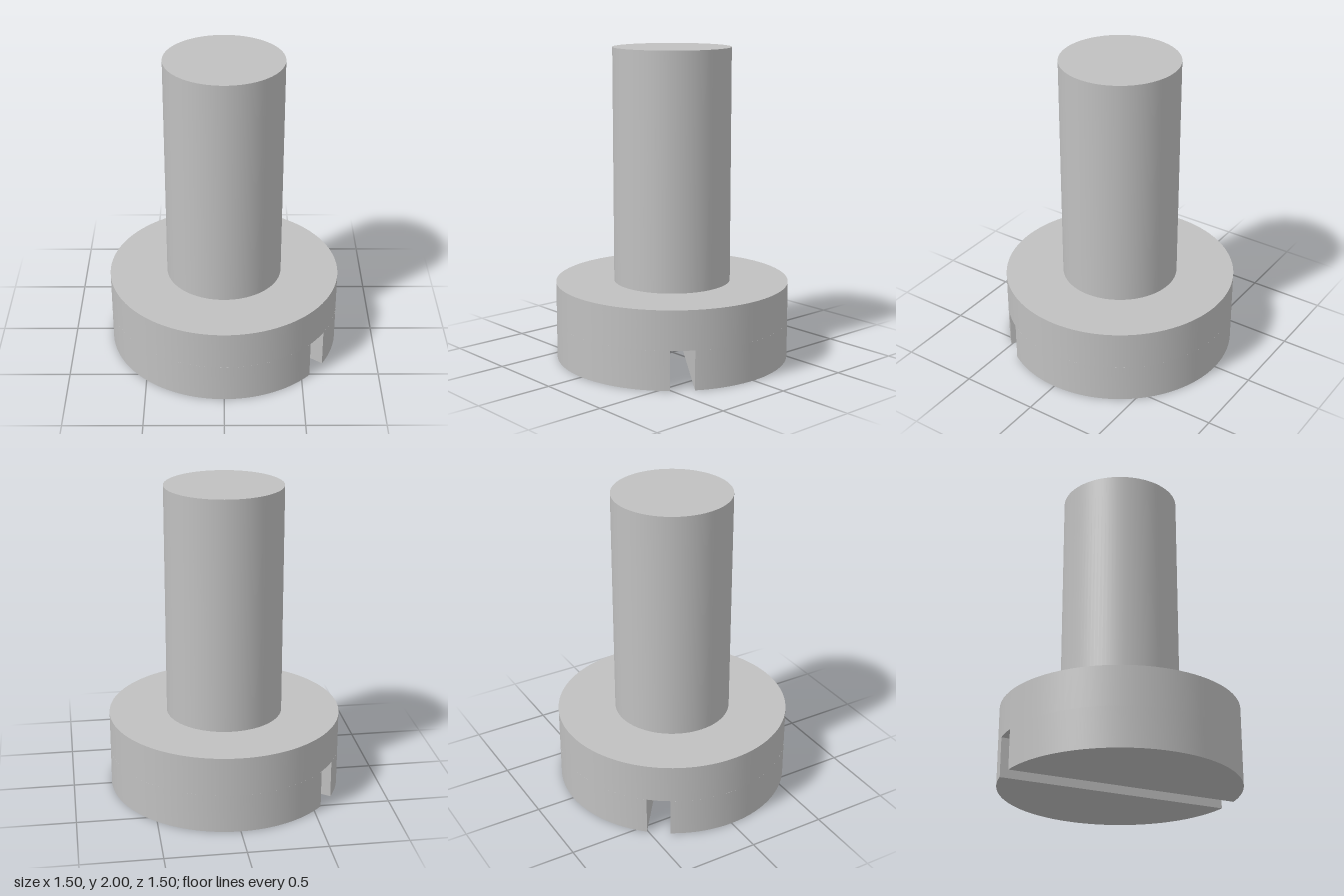
import * as THREE from 'three';
import { toCreasedNormals } from 'three/addons/utils/BufferGeometryUtils.js';

export function createModel() {
  const model = new THREE.Group();
  model.name = 'slottedScrew';
  const steel = new THREE.MeshStandardMaterial({ color: 0xc0c0c0 });
  steel.name = 'steel grey';

  const headRadius = 0.75, headHeight = 0.5, shaftRadius = 0.375;
  const slotDepth = 0.25, slotWidth = 0.15;
  const slotAngle = THREE.MathUtils.degToRad(36.8);

  const add = (name, geometry, parent = model) => {
    const mesh = new THREE.Mesh(geometry, steel);
    mesh.name = name;
    parent.add(mesh);
    return mesh;
  };
  const disc = (radius, y0, y1) =>
    new THREE.CylinderGeometry(radius, radius, y1 - y0, 96).translate(0, (y0 + y1) / 2, 0);

  // Shaft, and the solid part of the head above the slot
  add('shaft', disc(shaftRadius, headHeight, 2));
  add('headCollar', disc(headRadius, slotDepth, headHeight));

  // Two circle segments under the collar leave the slot between them
  const a = Math.asin(slotWidth / 2 / headRadius);
  const segment = new THREE.Shape().absarc(0, 0, headRadius, a, Math.PI - a, false);
  segment.closePath();
  const half = toCreasedNormals(
    new THREE.ExtrudeGeometry(segment, { depth: slotDepth, bevelEnabled: false, curveSegments: 48 })
      .rotateX(-Math.PI / 2), 0.5);

  const slottedHead = new THREE.Group();
  slottedHead.name = 'slottedHead';
  slottedHead.rotation.y = -slotAngle;
  model.add(slottedHead);
  ['headHalfBack', 'headHalfFront'].forEach((name, i) => {
    add(name, half, slottedHead).rotation.y = i * Math.PI;
  });

  return model;
}
